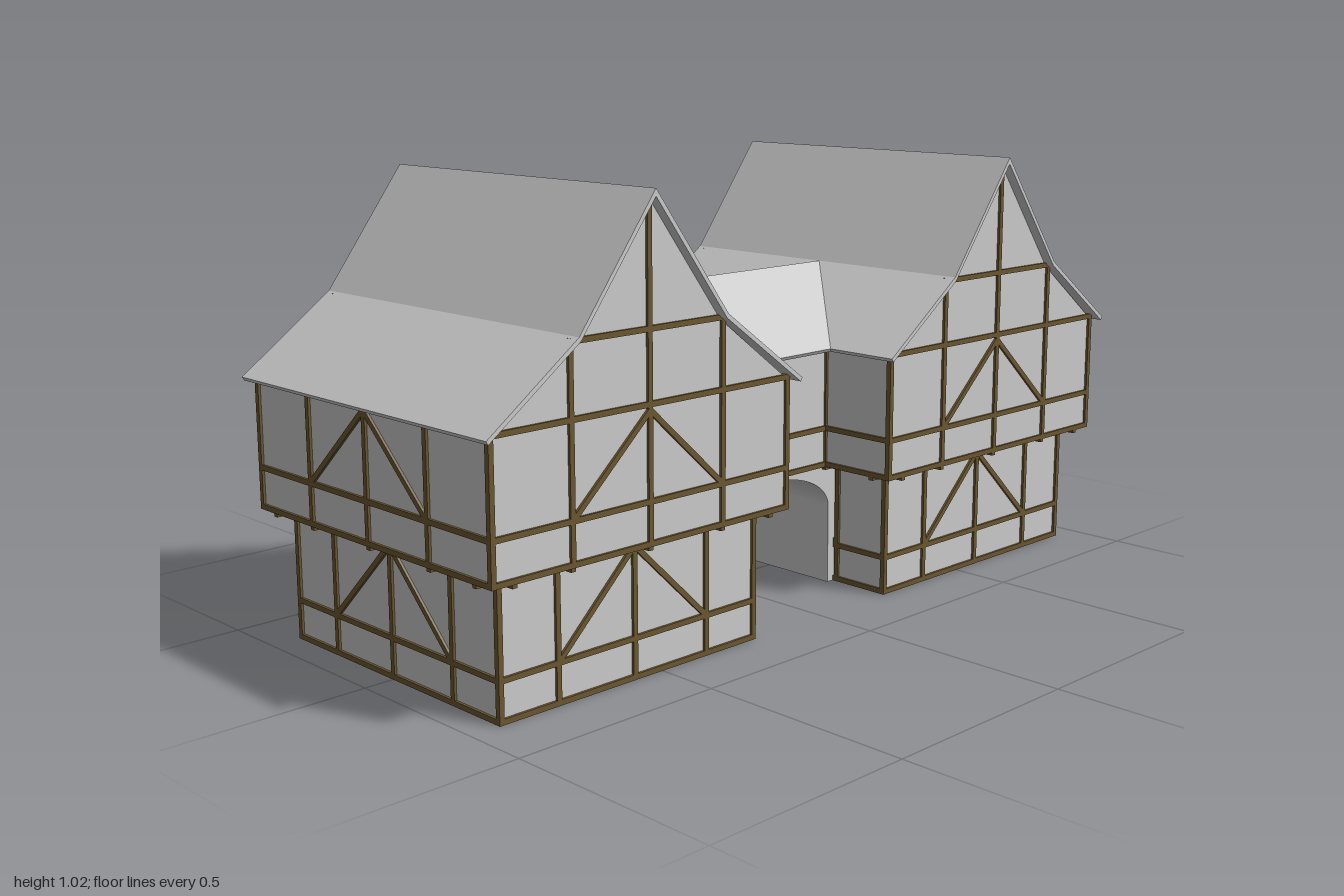
import * as THREE from 'three';
import { mergeGeometries } from 'three/addons/utils/BufferGeometryUtils.js';

const plaster = new THREE.MeshStandardMaterial({ color: 0xcccccc, flatShading: true });
const timber = new THREE.MeshStandardMaterial({ color: 0x6b5730, flatShading: true });
const BEAM = 0.012;

function part(name, geometry, material = plaster) {
  const mesh = new THREE.Mesh(geometry, material);
  mesh.name = name;
  return mesh;
}

function box(w, h, d, x, y, z) {
  return new THREE.BoxGeometry(w, h, d).translate(x, y, z);
}

// Outline in the x-y plane, extruded symmetrically along z
function prism(points, depth) {
  const shape = new THREE.Shape(points.map(([x, y]) => new THREE.Vector2(x, y)));
  return new THREE.ExtrudeGeometry(shape, { depth, bevelEnabled: false }).translate(0, 0, -depth / 2);
}

// Mirrors a right-hand half outline (eaves to peak) into a full one
function mirrored(half) {
  return [...half, ...half.slice(0, -1).reverse().map(([x, y]) => [-x, y])];
}

// Beams on a wall plane: each segment is [x1, y1, x2, y2], wall faces +z at distance d
function framing(segments, d, turn) {
  return segments.map(([x1, y1, x2, y2]) => {
    const length = Math.hypot(x2 - x1, y2 - y1) + BEAM;
    return new THREE.BoxGeometry(length, BEAM, BEAM)
      .rotateZ(Math.atan2(y2 - y1, x2 - x1))
      .translate((x1 + x2) / 2, (y1 + y2) / 2, d)
      .rotateY(turn * Math.PI / 2);
  });
}

// Posts, rails and a pair of braces for one storey
function storey(half, bottom, rail, top) {
  const segments = [-half, -0.205, 0, 0.205, half].map((x) => [x, bottom, x, top - BEAM / 2]);
  for (const y of [bottom, rail]) segments.push([-half, y, half, y]);
  for (const s of [-1, 1]) segments.push([s * 0.205, rail, 0, top - BEAM]);
  return segments;
}

function createHouse() {
  const house = new THREE.Group();
  house.add(part('lowerStorey', box(0.7, 0.3, 0.7, 0, 0.15, 0)));

  // Jettied upper storey with a two-pitch gable
  const gable = mirrored([[0.4, 0.587], [0.2, 0.738], [0, 1.005]]);
  house.add(part('upperStorey', prism([[-0.4, 0.3], [0.4, 0.3], ...gable.slice(0, -1), [-0.4, 0.587]], 0.8)));

  // Thin bent roof shell
  const outer = mirrored([[0.425, 0.588], [0.2, 0.752], [0, 1.02]]);
  const inner = mirrored([[0.42, 0.58], [0.196, 0.743], [0, 1.004]]);
  house.add(part('roof', prism([...outer, ...inner.reverse()], 0.85)));

  // Timber framing on all four sides
  const beams = [];
  for (let turn = 0; turn < 4; turn++) {
    beams.push(...framing(storey(0.35, 0.006, 0.09, 0.3), 0.35, turn));
    beams.push(...framing(storey(0.4, 0.302, 0.39, 0.59), 0.4, turn));
    // Joist ends and rail under the overhang
    beams.push(box(0.7, BEAM, BEAM, 0, 0.294, 0.352).rotateY(turn * Math.PI / 2));
    for (const x of [-0.35, -0.205, 0, 0.205, 0.35]) {
      beams.push(box(BEAM, BEAM, 0.06, x, 0.294, 0.374).rotateY(turn * Math.PI / 2));
    }
  }
  const gableBeams = [
    [-0.4, 0.59, 0.4, 0.59], [-0.2, 0.742, 0.2, 0.742], [0, 0.59, 0, 0.995],
    [-0.205, 0.59, -0.205, 0.735], [0.205, 0.59, 0.205, 0.735],
  ];
  for (const turn of [0, 2]) beams.push(...framing(gableBeams, 0.4, turn));
  house.add(part('timberFrame', mergeGeometries(beams), timber));
  return house;
}

function createGatehouse() {
  const gate = new THREE.Group();

  // Archway block between the houses
  const arch = new THREE.Shape();
  arch.moveTo(0.23, 0);
  arch.lineTo(0.23, 0.3);
  arch.lineTo(-0.23, 0.3);
  arch.lineTo(-0.23, 0);
  arch.lineTo(-0.2, 0);
  arch.lineTo(-0.2, 0.19);
  arch.absellipse(0, 0.19, 0.2, 0.095, Math.PI, 0, true);
  arch.lineTo(0.2, 0);
  arch.closePath();
  const archGeometry = new THREE.ExtrudeGeometry(arch, { depth: 0.39, bevelEnabled: false, curveSegments: 20 });
  gate.add(part('archway', archGeometry.translate(0, 0, -0.195)));

  // Room over the arch
  gate.add(part('bridgeRoom', box(0.4, 0.285, 0.41, 0, 0.4425, 0)));
  const beams = [];
  for (const turn of [0, 2]) {
    beams.push(...framing([[-0.18, 0.302, 0.18, 0.302], [-0.18, 0.39, 0.18, 0.39]], 0.205, turn));
  }
  gate.add(part('bridgeTimber', mergeGeometries(beams), timber));

  // Cross roof, its ends running into the house roofs
  const roof = [[0.24, 0.588], [0, 0.752], [-0.24, 0.588], [-0.235, 0.58], [0, 0.74], [0.235, 0.58]];
  gate.add(part('bridgeRoof', prism(roof, 0.75).rotateY(Math.PI / 2)));
  return gate;
}

export function createModel() {
  const model = new THREE.Group();
  model.name = 'timberFramedGatehouse';
  for (const side of [-1, 1]) {
    const house = createHouse();
    house.name = side > 0 ? 'leftHouse' : 'rightHouse';
    house.position.x = side * 0.575;
    model.add(house);
  }
  const gate = createGatehouse();
  gate.name = 'gateBridge';
  model.add(gate);
  return model;
}
